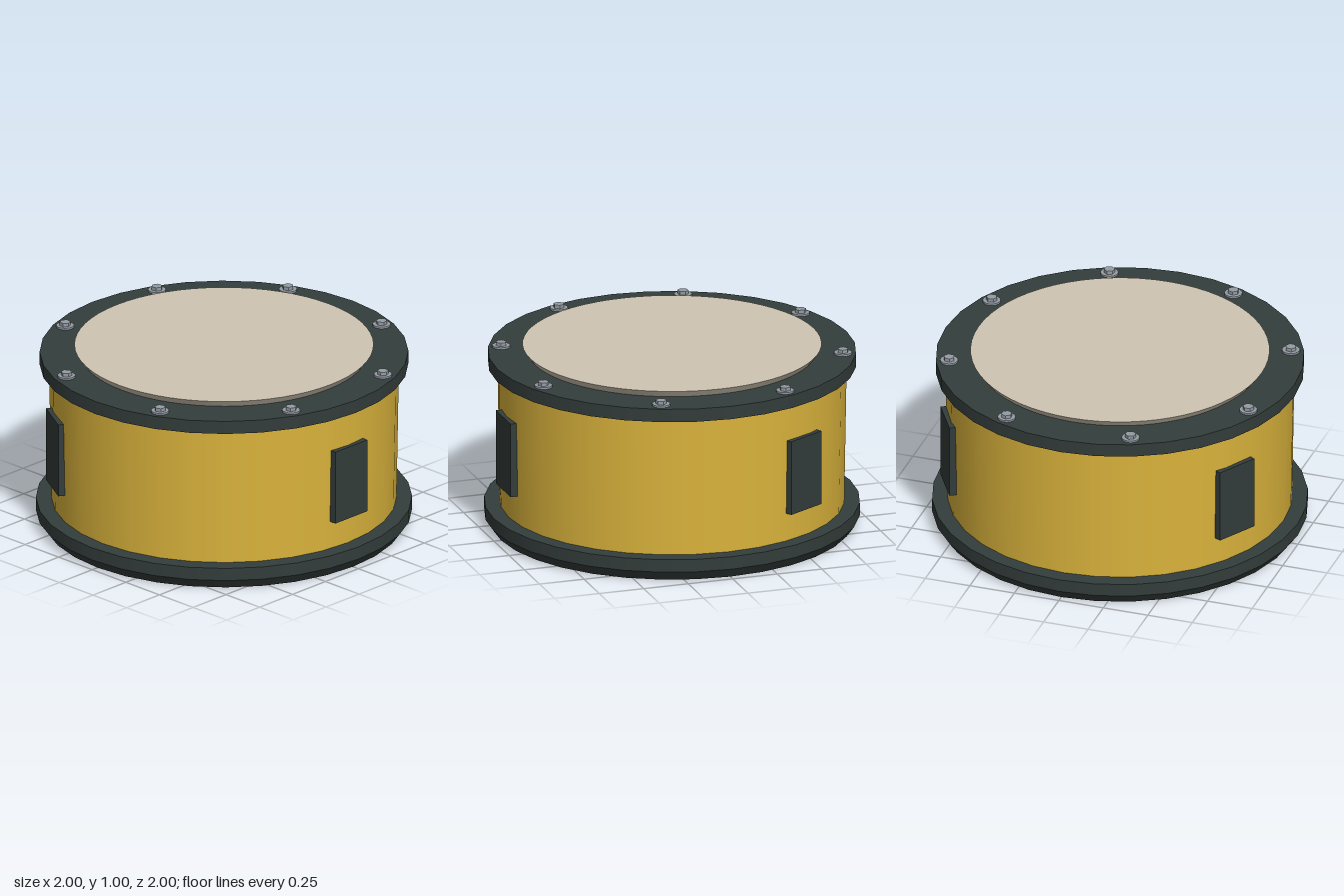
import * as THREE from 'three';

const flat = (name, color) => {
  const m = new THREE.MeshStandardMaterial({ color });
  m.name = name;
  return m;
};

export function createModel() {
  const model = new THREE.Group();
  model.name = 'drumBeacon';

  const yellow = flat('yellow', 0xdbb43c);
  const dark = flat('darkGrey', 0x333d3b);
  const cream = flat('cream', 0xcfc5b2);
  const steel = flat('steel', 0x949ca4);

  // Upright round part between heights y0 and y1
  const disc = (name, mat, rTop, rBottom, y0, y1, sides, open = false, parent = model) => {
    const mesh = new THREE.Mesh(
      new THREE.CylinderGeometry(rTop, rBottom, y1 - y0, sides, 1, open), mat);
    mesh.position.y = (y0 + y1) / 2;
    mesh.name = name;
    parent.add(mesh);
    return mesh;
  };

  // Base flange with a chamfered lower edge
  disc('baseChamfer', dark, 1, 0.96, 0, 0.055, 32);
  disc('baseFlange', dark, 1, 1, 0.055, 0.125, 32);

  // Slightly tapered body, top flange and flared top plate
  disc('body', yellow, 0.93, 0.917, 0.125, 0.89, 32, true);
  disc('topFlange', dark, 0.98, 0.98, 0.89, 0.962, 32);
  disc('topPlate', cream, 0.795, 0.768, 0.962, 1, 64);

  // Three side pads, a third of a turn apart
  for (let i = 0; i < 3; i++) {
    const pivot = new THREE.Group();
    pivot.name = 'sidePad';
    pivot.rotation.y = (i * Math.PI * 2) / 3;
    const pad = new THREE.Mesh(new THREE.BoxGeometry(0.07, 0.41, 0.242), dark);
    pad.position.set(0.913, 0.485, 0);
    pad.name = 'pad';
    pivot.add(pad);
    model.add(pivot);
  }

  // Eight hex bolts with washers around the top flange
  for (let i = 0; i < 8; i++) {
    const a = ((i + 0.5) * Math.PI) / 4;
    const bolt = new THREE.Group();
    bolt.name = 'bolt';
    bolt.position.set(0.91 * Math.cos(a), 0.962, 0.91 * Math.sin(a));
    bolt.rotation.y = -a;
    disc('washer', steel, 0.048, 0.048, 0, 0.01, 16, false, bolt);
    const head = disc('boltHead', steel, 0.03, 0.03, 0.01, 0.029, 6, false, bolt);
    head.geometry = head.geometry.toNonIndexed();
    head.geometry.computeVertexNormals();
    model.add(bolt);
  }

  return model;
}
